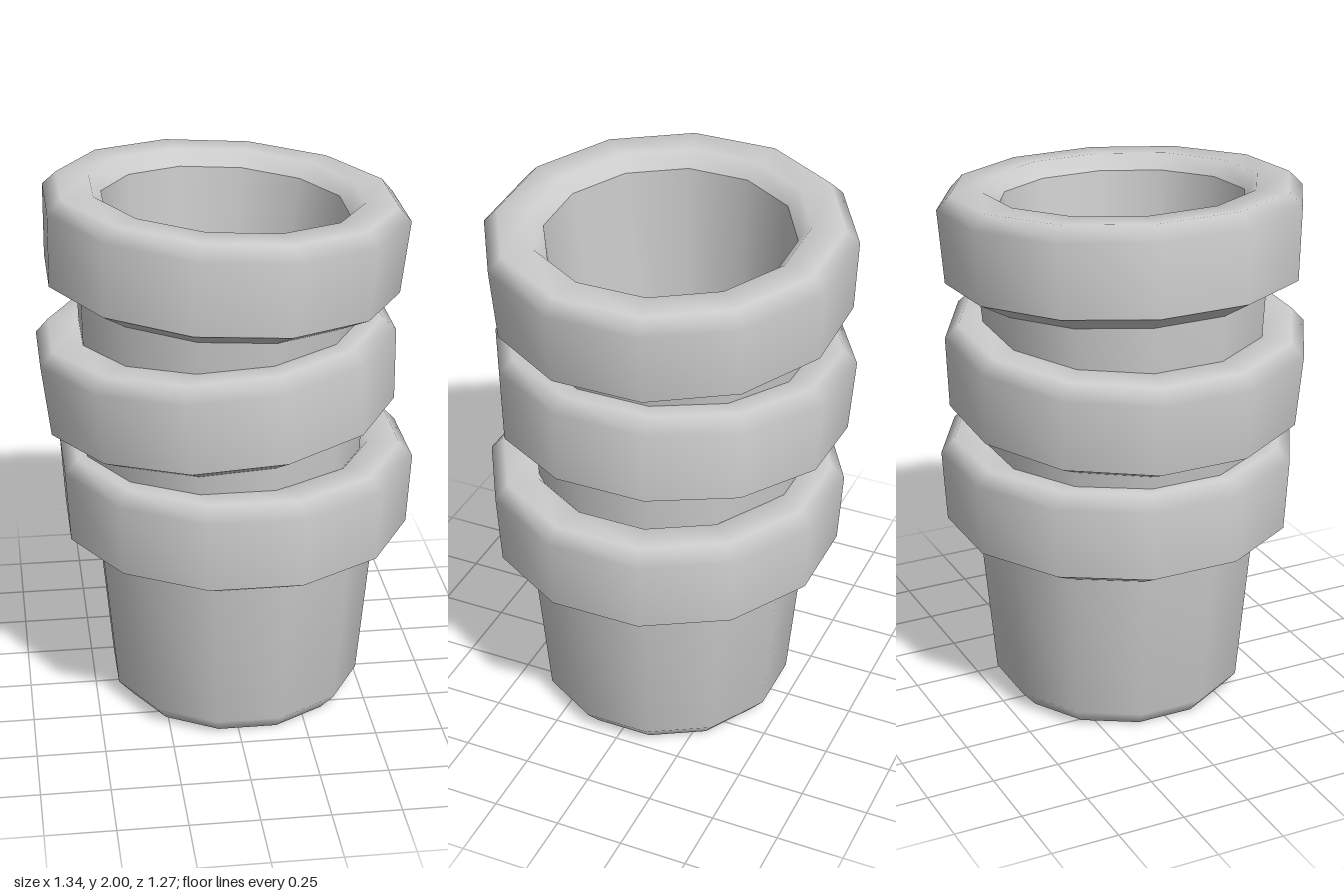
import * as THREE from 'three';

const SIDES = 12;
const HALF_STEP = Math.PI / SIDES;

// Each profile is [distance to flat side, height]; a new profile starts at every sharp edge.
const PROFILES = {
  base: [[0, 0], [0.40, 0]],
  body: [[0.40, 0], [0.455, 0.065], [0.505, 0.64]],
  lipUnderside: [[0.505, 0.64], [0.62, 0.705]],
  rim: [[0.62, 0.705], [0.635, 0.97], [0.588, 1.02], [0.475, 1.02], [0.43, 0.965]],
  inside: [[0.43, 0.965], [0.348, 0.06]],
  floor: [[0.348, 0.06], [0, 0.06]],
};

// Twelve-sided turned surface with flats facing the axes
function turned(profile) {
  const points = profile.map(([r, y]) => new THREE.Vector2(r / Math.cos(HALF_STEP), y));
  return new THREE.LatheGeometry(points, SIDES, HALF_STEP, Math.PI * 2);
}

export function createModel() {
  const model = new THREE.Group();
  model.name = 'stackedPots';
  const grey = new THREE.MeshStandardMaterial({ color: 0xcccccc });
  grey.name = 'plain grey';

  const parts = Object.entries(PROFILES).map(([name, profile]) => [name, turned(profile)]);

  function addPot(name, x, y, tilt) {
    const pot = new THREE.Group();
    pot.name = name;
    for (const [part, geometry] of parts) {
      const mesh = new THREE.Mesh(geometry, grey);
      mesh.name = part;
      pot.add(mesh);
    }
    pot.position.set(x, y, 0);
    pot.rotation.z = THREE.MathUtils.degToRad(tilt);
    model.add(pot);
  }

  // Upright pot with two more nested in it, leaning opposite ways
  addPot('bottomPot', 0.035, 0, 0);
  addPot('middlePot', 0.021, 0.462, 3.6);
  addPot('topPot', -0.06, 0.945, -3.65);

  return model;
}
